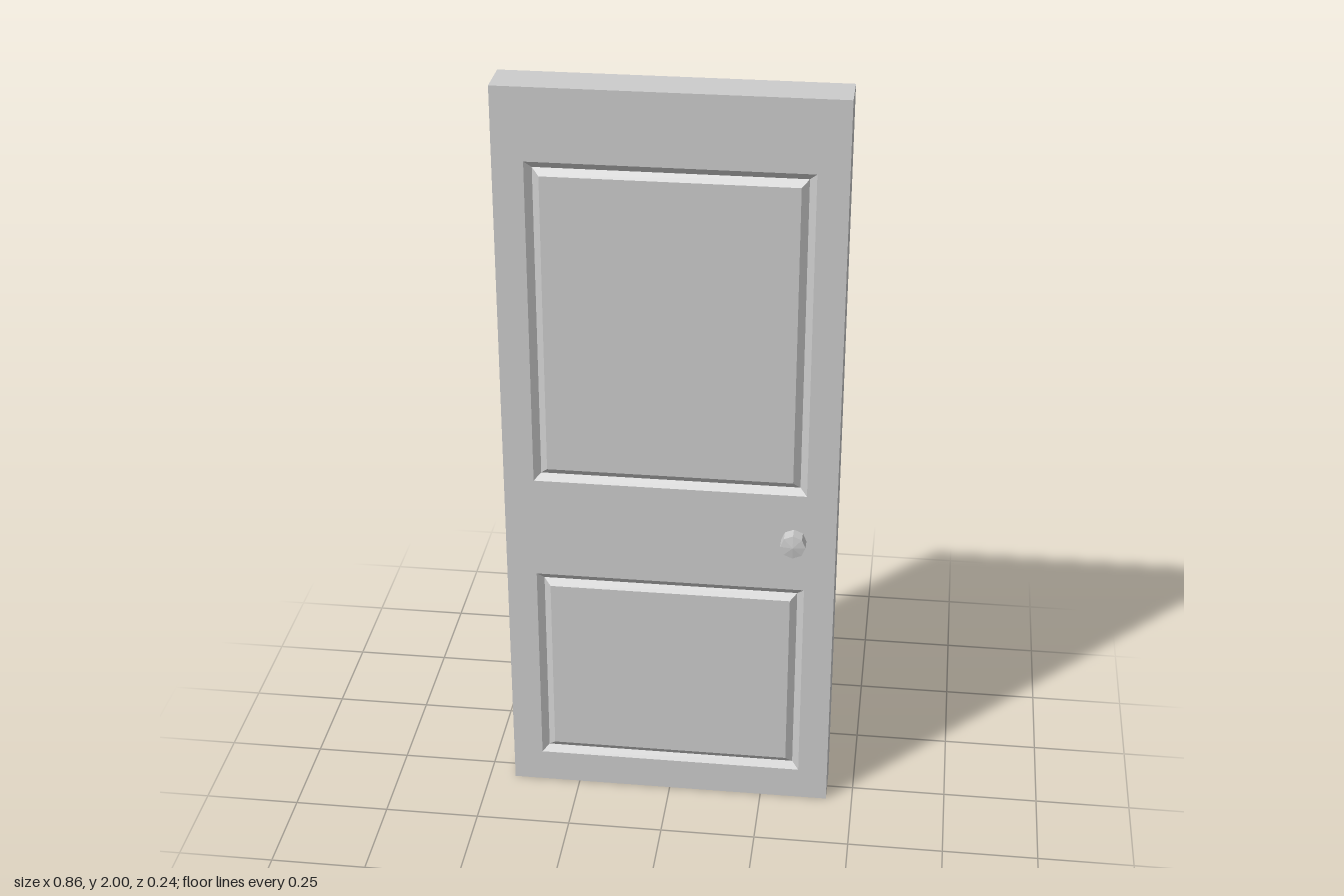
import * as THREE from 'three';

const W = 0.43, H = 2, D = 0.058;      // half width, height, half thickness
const PANEL_W = 0.352;                 // panel half width
const PANELS = [
  { name: 'upperPanel', y0: 0.941, y1: 1.813 },
  { name: 'lowerPanel', y0: 0.09, y1: 0.662 },
];
// Groove section around each panel: [inset, z]
const GROOVE = [[0, D], [0.018, D - 0.014], [0.036, D]];

const rect = (target, x, y0, y1) => {
  target.moveTo(-x, y0);
  target.lineTo(x, y0);
  target.lineTo(x, y1);
  target.lineTo(-x, y1);
  target.closePath();
  return target;
};

// Panel face surrounded by a mitred V groove
function panelGeometry({ y0, y1 }) {
  const rings = GROOVE.map(([i, z]) => [
    [-PANEL_W + i, y0 + i, z], [PANEL_W - i, y0 + i, z],
    [PANEL_W - i, y1 - i, z], [-PANEL_W + i, y1 - i, z],
  ]);
  const pos = [];
  const quad = (a, b, c, d) => pos.push(...a, ...b, ...c, ...a, ...c, ...d);
  for (let r = 0; r < rings.length - 1; r++) {
    for (let k = 0; k < 4; k++) {
      const n = (k + 1) % 4;
      quad(rings[r][k], rings[r][n], rings[r + 1][n], rings[r + 1][k]);
    }
  }
  quad(...rings[rings.length - 1]);
  const g = new THREE.BufferGeometry();
  g.setAttribute('position', new THREE.Float32BufferAttribute(pos, 3));
  g.computeVertexNormals();
  return g;
}

// Faceted eight-sided turning along +z, from [radius, z] points
function turned(points) {
  const g = new THREE.LatheGeometry(points.map(([r, z]) => new THREE.Vector2(r, z)), 8)
    .rotateX(Math.PI / 2).toNonIndexed();
  g.computeVertexNormals();
  return g;
}

export function createModel() {
  const grey = new THREE.MeshStandardMaterial({ color: 0xcccccc });
  const model = new THREE.Group();
  model.name = 'door';
  const add = (parent, name, geometry) => {
    const mesh = new THREE.Mesh(geometry, grey);
    mesh.name = name;
    parent.add(mesh);
    return mesh;
  };

  // Slab with openings for the panels
  const shape = rect(new THREE.Shape(), W, 0, H);
  for (const p of PANELS) shape.holes.push(rect(new THREE.Path(), PANEL_W, p.y0, p.y1));
  const slab = new THREE.ExtrudeGeometry(shape, { depth: 2 * D, bevelEnabled: false });
  add(model, 'doorFrame', slab.translate(0, 0, -D));

  // Panels and knobs on both faces
  const stem = turned([[0.013, D - 0.005], [0.013, 0.084]]);
  const knob = turned([[0, 0.082], [0.0325, 0.082], [0.0325, 0.117], [0, 0.122]]);
  for (const front of [true, false]) {
    const side = new THREE.Group();
    side.name = front ? 'frontSide' : 'backSide';
    if (!front) side.rotation.y = Math.PI;
    for (const p of PANELS) add(side, p.name, panelGeometry(p));
    const x = front ? 0.323 : -0.323;
    add(side, 'knobStem', stem).position.set(x, 0.824, 0);
    add(side, 'knob', knob).position.set(x, 0.824, 0);
    model.add(side);
  }
  return model;
}
